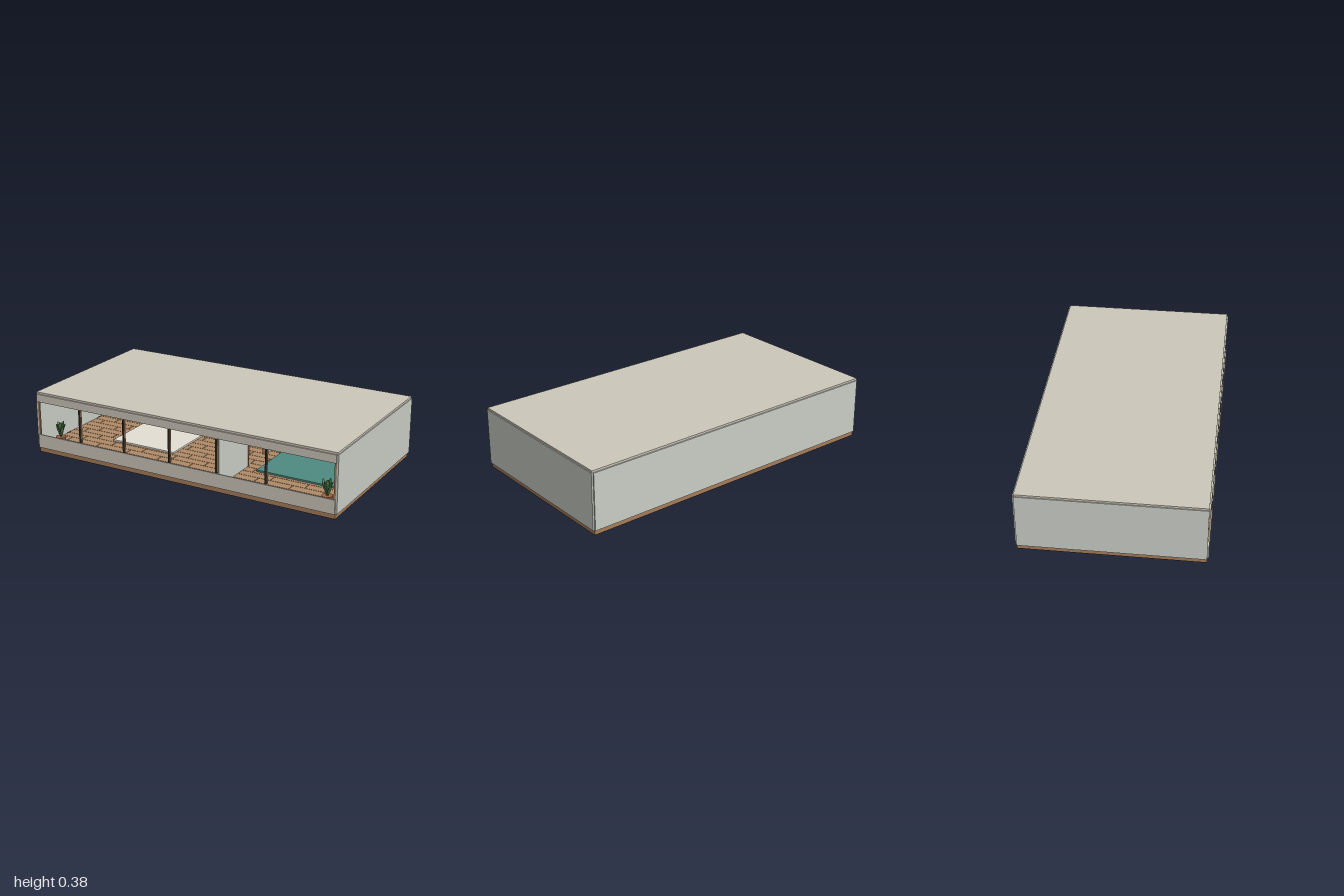
import * as THREE from 'three';
import { mergeGeometries } from 'three/addons/utils/BufferGeometryUtils.js';

const mat = (color) => new THREE.MeshStandardMaterial({ color });
const M = {
  wall: mat(0xcacdc5), beige: mat(0xcdc7ba), wood: mat(0xa67c5a), dark: mat(0x4a372a),
  metal: mat(0x3a3732), floor: mat(0xb08a66), teal: mat(0x4f8a80), cream: mat(0xe4dfd3),
  orange: mat(0xc07a50), leaf: mat(0x4f7a4a), pane: mat(0xd6dad4), pot: mat(0x9a5f40),
};

export function createModel() {
  const room = new THREE.Group();
  room.name = 'room';

  const add = (name, geometry, material, parent = room) => {
    const mesh = new THREE.Mesh(geometry, material);
    mesh.name = name;
    parent.add(mesh);
    return mesh;
  };
  // Box given by its limits on each axis
  const box = (name, material, x0, x1, y0, y1, z0, z1, parent = room) => {
    const mesh = add(name, new THREE.BoxGeometry(x1 - x0, y1 - y0, z1 - z0), material, parent);
    mesh.position.set((x0 + x1) / 2, (y0 + y1) / 2, (z0 + z1) / 2);
    return mesh;
  };

  // Base and shell
  box('baseUnderside', M.dark, -0.99, 0.99, 0, 0.003, -0.522, 0.522);
  box('base', M.wood, -0.99, 0.99, 0.003, 0.028, -0.522, 0.522);
  box('roof', M.beige, -0.995, 0.995, 0.373, 0.385, -0.522, 0.522);
  box('backWall', M.wall, -0.99, 0.99, 0.03, 0.373, -0.53, -0.522);
  box('frontSill', M.beige, -0.99, 0.99, 0.03, 0.115, 0.522, 0.53);
  box('frontHeader', M.beige, -0.99, 0.99, 0.325, 0.373, 0.522, 0.53);
  for (const s of [-1, 1]) {
    const wall = box('sideWall', M.wall, 0.99, 1, 0.03, 0.373, -0.522, 0.522);
    wall.position.x *= s;
    const post = box('cornerPost', M.wood, 0.978, 0.99, 0.115, 0.325, 0.512, 0.522);
    post.position.x *= s;
  }

  // Staggered floor planks
  const planks = [];
  const rows = 18, length = 0.22, depth = 1.044 / rows;
  for (let r = 0; r < rows; r++) {
    const z = -0.522 + (r + 0.5) * depth;
    for (let x = -0.99 - (r % 3) * length / 3; x < 0.985; x += length) {
      const a = Math.max(x, -0.99) + 0.002, b = Math.min(x + length, 0.99) - 0.002;
      if (b - a < 0.01) continue;
      planks.push(new THREE.BoxGeometry(b - a, 0.004, depth - 0.003).translate((a + b) / 2, 0.029, z));
    }
  }
  add('floorPlanks', mergeGeometries(planks), M.floor);

  // Front glazing bars, dark outside with timber behind
  for (let i = 0; i < 5; i++) {
    const x = -0.68 + i * 0.3125;
    box('mullion', M.metal, x - 0.004, x + 0.004, 0.115, 0.325, 0.518, 0.528);
    box('mullionTrim', M.wood, x - 0.002, x + 0.006, 0.115, 0.325, 0.508, 0.518);
  }

  // Partition with a framed doorway
  box('partitionFront', M.wall, 0.252, 0.266, 0.03, 0.373, 0.17, 0.508);
  box('partitionBack', M.wall, 0.252, 0.266, 0.03, 0.373, -0.522, -0.06);
  box('partitionLintel', M.wall, 0.252, 0.266, 0.3, 0.373, -0.06, 0.17);
  box('doorHead', M.wood, 0.248, 0.27, 0.29, 0.3, -0.06, 0.17);
  for (const z of [-0.06, 0.16]) box('doorJamb', M.wood, 0.248, 0.27, 0.03, 0.29, z, z + 0.01);
  const sconce = add('wallLight', new THREE.SphereGeometry(0.008, 12, 8), M.orange);
  sconce.position.set(0.245, 0.29, 0.25);

  // Rectangular frame on the back wall
  const frame = (name, x0, x1, y0, y1, t, inner) => {
    const g = new THREE.Group();
    g.name = name;
    room.add(g);
    box('panel', inner, x0, x1, y0, y1, -0.522, -0.516, g);
    for (const y of [y0, y1 - t]) box('rail', M.dark, x0, x1, y, y + t, -0.522, -0.51, g);
    for (const x of [x0, x1 - t]) box('stile', M.dark, x, x + t, y0, y1, -0.522, -0.51, g);
    return g;
  };
  frame('backWindow', 0.435, 0.815, 0.113, 0.308, 0.007, M.pane);
  box('windowLedge', M.metal, 0.445, 0.805, 0.115, 0.126, -0.522, -0.5);
  const picture = frame('picture', -0.55, -0.393, 0.187, 0.297, 0.006, M.cream);
  const disc = add('paintedDisc', new THREE.CylinderGeometry(0.024, 0.024, 0.003, 32), M.orange, picture);
  disc.rotation.x = Math.PI / 2;
  disc.position.set(-0.495, 0.255, -0.515);
  box('paintedBar', M.teal, -0.495, -0.41, 0.213, 0.232, -0.517, -0.512, picture);

  // Pendant lights
  for (const x of [-0.475, 0.62]) {
    const shade = add('pendantShade', new THREE.CylinderGeometry(0.04, 0.048, 0.01, 32), M.cream);
    shade.position.set(x, 0.305, 0);
    const stem = add('pendantStem', new THREE.CylinderGeometry(0.003, 0.003, 0.063, 8), M.metal);
    stem.position.set(x, 0.341, 0);
  }

  // Rugs
  box('creamRug', M.cream, -0.654, -0.218, 0.031, 0.041, -0.2, 0.22);
  box('tealRug', M.teal, 0.345, 0.9, 0.031, 0.041, -0.2, 0.21);

  // Sideboard with a row of books
  box('sideboardTop', M.wood, -0.87, -0.585, 0.123, 0.135, -0.52, -0.42);
  for (const x of [-0.86, -0.605]) for (const z of [-0.51, -0.44])
    box('sideboardLeg', M.wood, x, x + 0.01, 0.03, 0.123, z, z + 0.01);
  const bookColors = [M.teal, M.cream, M.orange, M.metal];
  for (let i = 0; i < 10; i++) {
    const x = -0.86 + i * 0.0155;
    box('book', bookColors[i % 4], x, x + 0.014, 0.135, 0.172 + (i % 3) * 0.004, -0.505, -0.455);
  }

  // Potted plants: pointed leaves leaning out from the pot
  const blade = new THREE.SphereGeometry(1, 10, 8).scale(0.011, 0.042, 0.004).translate(0, 0.042, 0);
  const leaves = [];
  for (let i = 0; i < 10; i++) {
    const leaf = blade.clone().rotateX(0.15 + 0.12 * (i % 4)).rotateY(i * 2.4);
    leaves.push(leaf.translate(0, 0.075 + 0.0025 * i, 0));
  }
  const foliage = mergeGeometries(leaves);
  for (const [x, z] of [[-0.905, 0.42], [0.14, -0.42], [0.895, 0.42]]) {
    const plant = new THREE.Group();
    plant.name = 'plant';
    plant.position.set(x, 0, z);
    room.add(plant);
    add('pot', new THREE.CylinderGeometry(0.032, 0.024, 0.05, 20), M.pot, plant).position.y = 0.056;
    add('leaves', foliage, M.leaf, plant);
  }
  return room;
}
